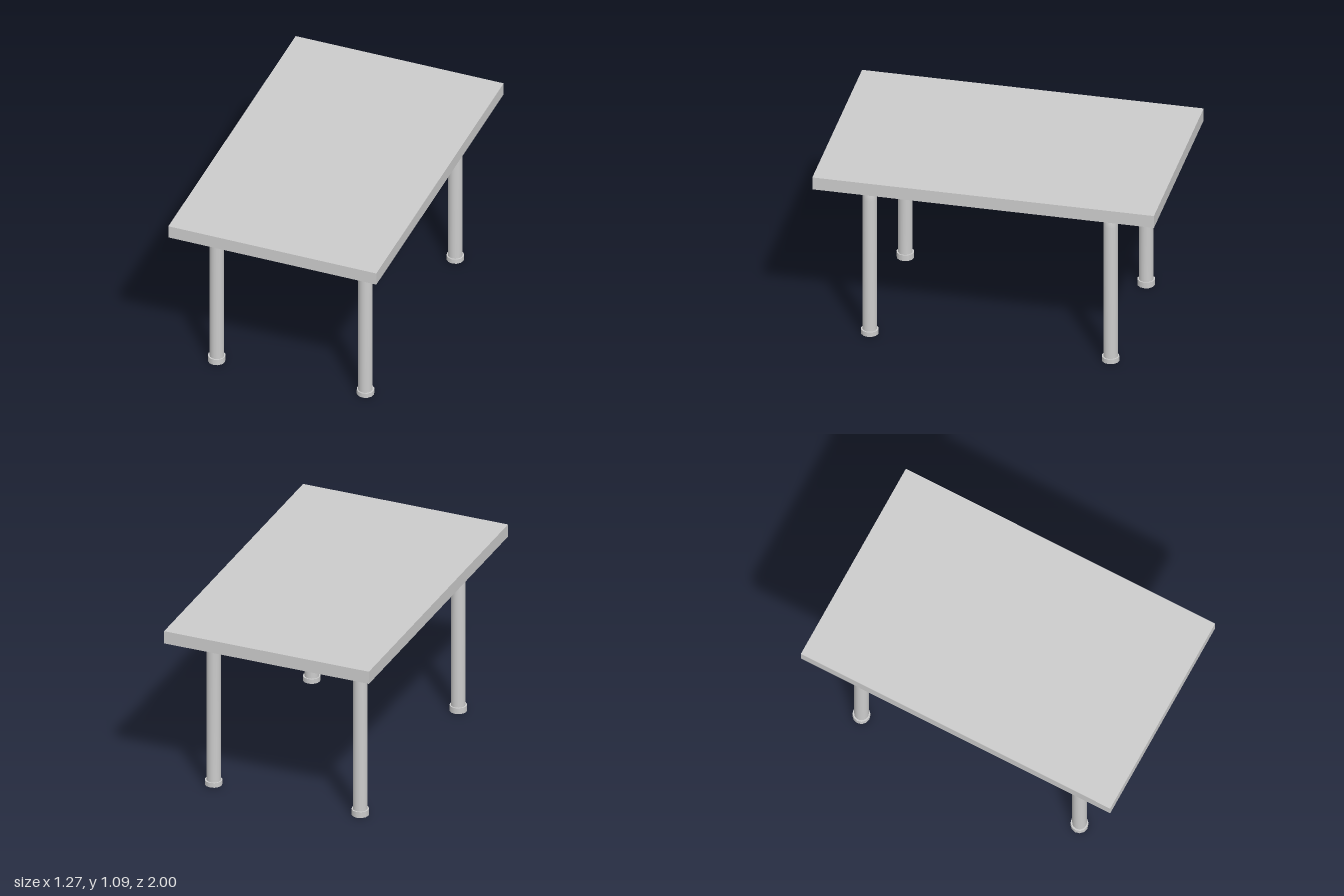
import * as THREE from 'three';

const material = new THREE.MeshStandardMaterial({ color: 0xcccccc });

function addMesh(parent, name, geometry, x = 0, y = 0, z = 0) {
  const mesh = new THREE.Mesh(geometry, material);
  mesh.name = name;
  mesh.position.set(x, y, z);
  parent.add(mesh);
  return mesh;
}

// Sampled centre line of one bent tube frame: up, across, down
function framePoints() {
  const legX = 0.455, barY = 0.969, bendX = 0.397, bendY = 0.89;
  const bend = new THREE.QuadraticBezierCurve3(
    new THREE.Vector3(legX, bendY, 0),
    new THREE.Vector3(legX, barY, 0),
    new THREE.Vector3(bendX, barY, 0)
  ).getPoints(5);
  const half = [new THREE.Vector3(legX, 0.02, 0), ...bend];
  const mirrored = half.map((p) => new THREE.Vector3(-p.x, p.y, p.z)).reverse();
  return [...half, ...mirrored];
}

// Round tube with one ring per path point, mitred at the bends
function tubeGeometry(points, radius, sides) {
  const positions = [], normals = [], indices = [];
  const last = points.length - 1;
  points.forEach((p, i) => {
    const tangent = points[Math.min(i + 1, last)].clone()
      .sub(p).normalize();
    const before = p.clone().sub(points[Math.max(i - 1, 0)]).normalize();
    tangent.add(before).normalize();
    const side = new THREE.Vector3(-tangent.y, tangent.x, 0);
    for (let j = 0; j <= sides; j++) {
      const a = (j / sides) * Math.PI * 2;
      const n = side.clone().multiplyScalar(Math.cos(a));
      n.z = Math.sin(a);
      positions.push(p.x + n.x * radius, p.y + n.y * radius, p.z + n.z * radius);
      normals.push(n.x, n.y, n.z);
      if (i < last && j < sides) {
        const k = i * (sides + 1) + j, m = k + sides + 1;
        indices.push(k, m, k + 1, k + 1, m, m + 1);
      }
    }
  });
  const geometry = new THREE.BufferGeometry();
  geometry.setAttribute('position', new THREE.Float32BufferAttribute(positions, 3));
  geometry.setAttribute('normal', new THREE.Float32BufferAttribute(normals, 3));
  // Rings run side -> +z, so flip the winding to face outwards
  for (let t = 0; t < indices.length; t += 3) {
    const [a, b, c] = indices.slice(t, t + 3).map((v) => new THREE.Vector3().fromArray(positions, v * 3));
    const face = b.clone().sub(a).cross(c.clone().sub(a));
    if (face.dot(new THREE.Vector3().fromArray(normals, indices[t] * 3)) < 0) {
      [indices[t + 1], indices[t + 2]] = [indices[t + 2], indices[t + 1]];
    }
  }
  geometry.setIndex(indices);
  return geometry;
}

export function createModel() {
  const model = new THREE.Group();
  model.name = 'table';

  // Flat slab top
  addMesh(model, 'tableTop', new THREE.BoxGeometry(1.274, 0.078, 2), 0, 1.051, 0);

  // Two U-shaped leg frames with foot caps; left caps sit slightly higher
  const tube = tubeGeometry(framePoints(), 0.042, 16);
  for (const [name, z] of [['front', 0.705], ['back', -0.705]]) {
    const frame = new THREE.Group();
    frame.name = name + 'Legs';
    frame.position.z = z;
    addMesh(frame, name + 'LegTube', tube);
    for (const [side, x, bottom] of [['Left', 0.456, 0.008], ['Right', -0.456, 0]]) {
      const height = 0.037 - bottom;
      addMesh(frame, name + side + 'Foot',
        new THREE.CylinderGeometry(0.051, 0.051, height, 12), x, bottom + height / 2, 0);
    }
    model.add(frame);
  }
  return model;
}
